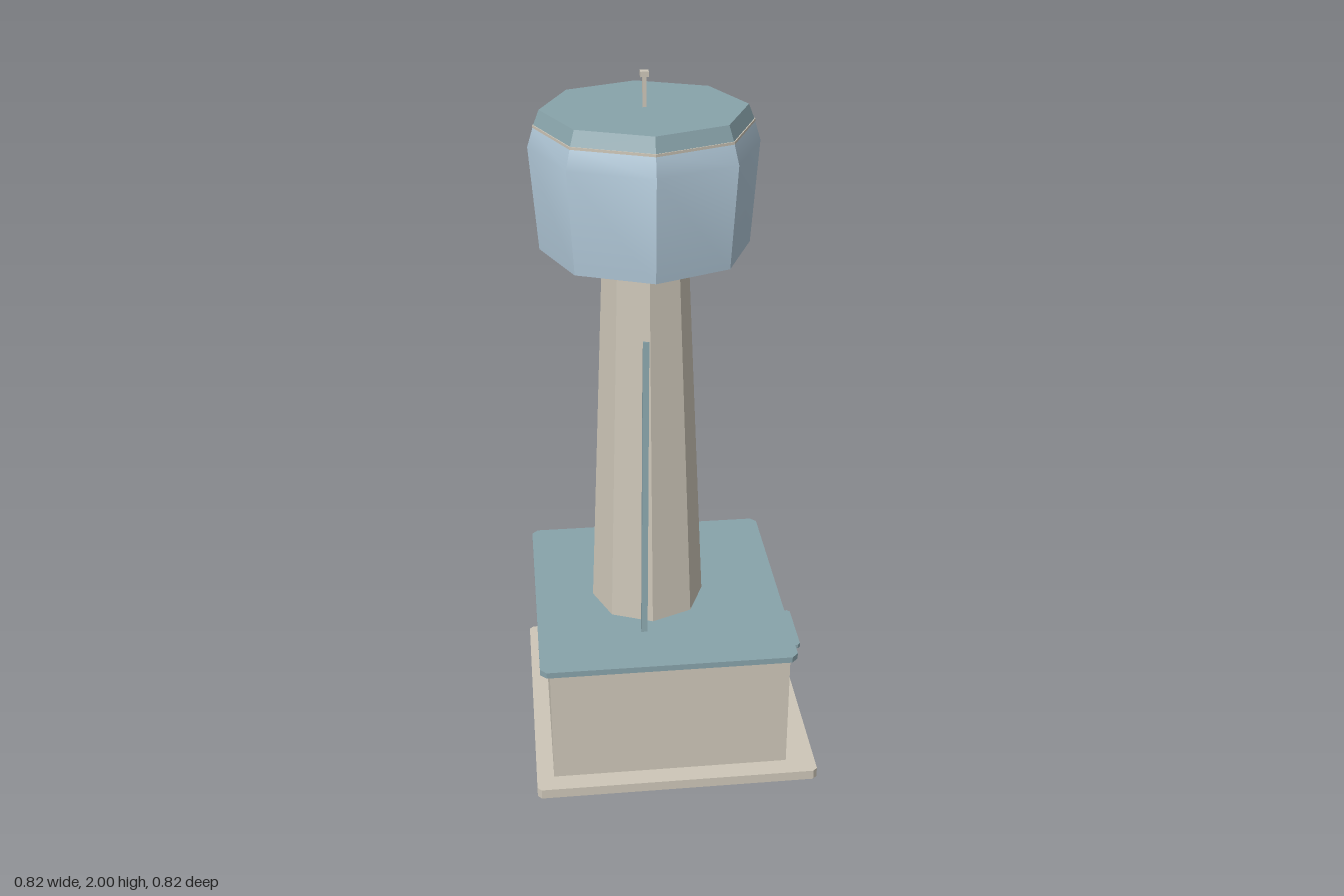
import * as THREE from 'three';
import { toCreasedNormals } from 'three/addons/utils/BufferGeometryUtils.js';

const material = (name, color) => {
  const m = new THREE.MeshStandardMaterial({ color });
  m.name = name;
  return m;
};

export function createModel() {
  const group = new THREE.Group();
  const concrete = material('concrete', 0xcdc6b8);
  const teal = material('teal trim', 0x88a3aa);
  const blue = material('tank blue', 0xb0c7d7);
  const axisX = -0.05; // vertical axis of tower and tank

  const add = (name, geometry, mat, x = 0, y = 0, z = 0) => {
    const mesh = new THREE.Mesh(geometry, mat);
    mesh.name = name;
    mesh.position.set(x, y, z);
    group.add(mesh);
    return mesh;
  };
  // box given by its limits
  const block = (name, mat, x0, x1, y0, y1, z0, z1) =>
    add(name, new THREE.BoxGeometry(x1 - x0, y1 - y0, z1 - z0), mat,
      (x0 + x1) / 2, (y0 + y1) / 2, (z0 + z1) / 2);
  // flat plate with cut corners; a and b are the cuts at the -x and +x ends
  const plate = (name, mat, x0, x1, y0, y1, hz, a, b) => {
    const pts = [[x0 + a, -hz], [x1 - b, -hz], [x1, -hz + b], [x1, hz - b],
      [x1 - b, hz], [x0 + a, hz]];
    if (a > 0) pts.push([x0, hz - a], [x0, -hz + a]);
    const shape = new THREE.Shape(pts.map(([x, z]) => new THREE.Vector2(x, z)));
    const g = new THREE.ExtrudeGeometry(shape, { depth: y1 - y0, bevelEnabled: false });
    g.rotateX(-Math.PI / 2);
    return add(name, g, mat, 0, y0, 0);
  };
  // octagonal frustum with corners on the axes
  const octagon = (name, mat, rTop, rBottom, y0, y1) =>
    add(name, toCreasedNormals(new THREE.CylinderGeometry(rTop, rBottom, y1 - y0, 8), 0.6),
      mat, axisX, (y0 + y1) / 2, 0);

  // base slab and roof of the hollow building
  plate('baseSlab', concrete, -0.41, 0.41, 0, 0.03, 0.41, 0.012, 0.012);
  plate('buildingRoof', teal, -0.387, 0.343, 0.405, 0.423, 0.383, 0.018, 0.018);

  // closed walls
  const t = 0.025, hz = 0.354;
  block('rearWall', concrete, -0.36, -0.36 + t, 0.03, 0.405, -hz, hz);
  for (const s of [-1, 1]) {
    const a = s * hz, b = s * (hz - t);
    block('sideWall', concrete, -0.36 + t, 0.325 - t, 0.03, 0.405, Math.min(a, b), Math.max(a, b));
  }

  // wall with an open doorway
  const outline = [[-hz, 0.03], [-0.073, 0.03], [-0.073, 0.23], [0.073, 0.23],
    [0.073, 0.03], [hz, 0.03], [hz, 0.405], [-hz, 0.405]];
  const wall = new THREE.ExtrudeGeometry(
    new THREE.Shape(outline.map(([z, y]) => new THREE.Vector2(z, y))),
    { depth: t, bevelEnabled: false });
  wall.rotateY(Math.PI / 2);
  add('doorWall', wall, concrete, 0.325 - t);

  // door frame, lintel and canopy
  for (const s of [-1, 1]) {
    block('doorPost', teal, 0.3, 0.334, 0.03, 0.24, s * 0.077 - 0.005, s * 0.077 + 0.005);
  }
  block('doorLintel', concrete, 0.32, 0.346, 0.227, 0.241, -0.08, 0.08);
  plate('doorCanopy', teal, 0.32, 0.41, 0.24, 0.253, 0.093, 0, 0.008);

  // tapered shaft
  octagon('towerShaft', concrete, 0.119, 0.165, 0.42, 1.48);

  // slanted struts leaning on the front and back of the shaft
  for (const s of [-1, 1]) {
    const foot = new THREE.Vector3(-0.079, 0.42, s * 0.205);
    const head = new THREE.Vector3(-0.061, 1.3, s * 0.117);
    const dir = head.clone().sub(foot);
    const strut = add('strut', new THREE.BoxGeometry(0.017, dir.length(), 0.019), teal);
    strut.position.copy(foot).lerp(head, 0.5);
    strut.quaternion.setFromUnitVectors(new THREE.Vector3(0, 1, 0), dir.normalize());
  }

  // water tank, its rim band and roof
  const profile = [[0, 1.47], [0.12, 1.47], [0.284, 1.53], [0.305, 1.81], [0.289, 1.862], [0, 1.862]];
  add('tank', toCreasedNormals(new THREE.LatheGeometry(
    profile.map(([r, y]) => new THREE.Vector2(r, y)), 8), 0.6), blue, axisX);
  octagon('tankBand', concrete, 0.29, 0.29, 1.861, 1.868);
  octagon('tankRoof', teal, 0.272, 0.288, 1.866, 1.907);

  // mast
  block('mast', concrete, axisX - 0.005, axisX + 0.005, 1.9, 1.987, -0.005, 0.005);
  block('mastCap', concrete, axisX - 0.011, axisX + 0.011, 1.986, 2, -0.011, 0.011);

  return group;
}
